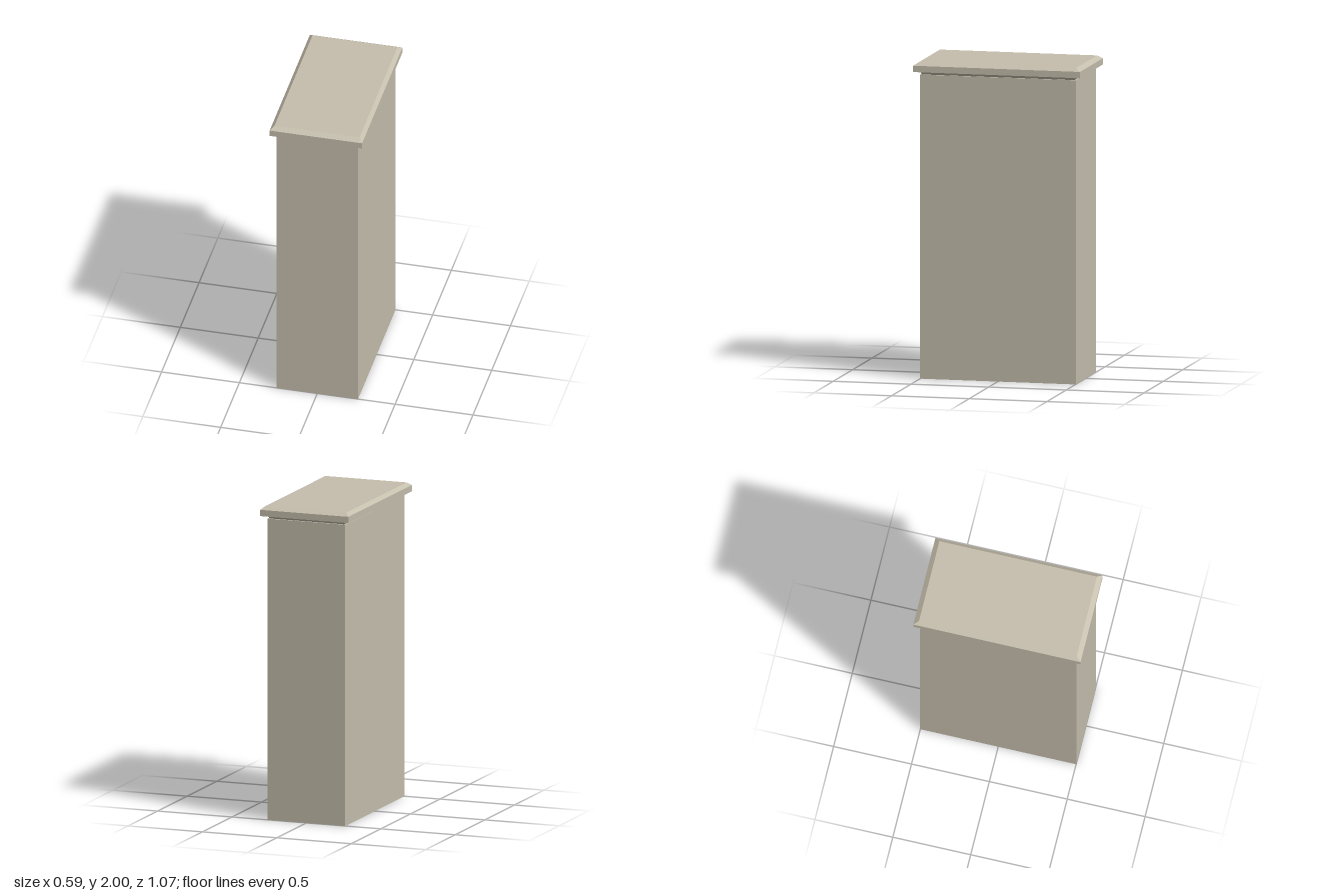
import * as THREE from 'three';

// Rectangular loft through rings of [halfWidth, y, halfDepth]
function loft(name, rings, material, capTop = false) {
  const pos = [];
  const quad = (a, b, c, d) => pos.push(...a, ...b, ...c, ...a, ...c, ...d);
  const corners = ([w, y, d]) => [[-w, y, d], [w, y, d], [w, y, -d], [-w, y, -d]];
  for (let i = 0; i < rings.length - 1; i++) {
    const lo = corners(rings[i]), hi = corners(rings[i + 1]);
    for (let k = 0; k < 4; k++) {
      const n = (k + 1) % 4;
      quad(lo[k], lo[n], hi[n], hi[k]);
    }
  }
  if (capTop) quad(...corners(rings[rings.length - 1]));
  const geometry = new THREE.BufferGeometry();
  geometry.setAttribute('position', new THREE.Float32BufferAttribute(pos, 3));
  geometry.computeVertexNormals();
  const mesh = new THREE.Mesh(geometry, material);
  mesh.name = name;
  return mesh;
}

export function createModel() {
  const group = new THREE.Group();
  group.name = 'pillar';
  const stone = new THREE.MeshStandardMaterial({ color: 0xc6bfad, side: THREE.DoubleSide });
  stone.name = 'warm grey stone';

  // Hollow shaft, open at the bottom
  group.add(loft('shaft', [[0.262, 0, 0.502], [0.262, 1.92, 0.502]], stone));

  // Narrow undercut joint between shaft and capstone
  group.add(loft('neck', [
    [0.262, 1.92, 0.502], [0.25, 1.92, 0.49], [0.262, 1.94, 0.502],
  ], stone));

  // Overhanging capstone with a bevelled top edge
  group.add(loft('capstone', [
    [0, 1.94, 0], [0.297, 1.94, 0.537], [0.297, 1.98, 0.537], [0.273, 2, 0.506],
  ], stone, true));

  return group;
}
